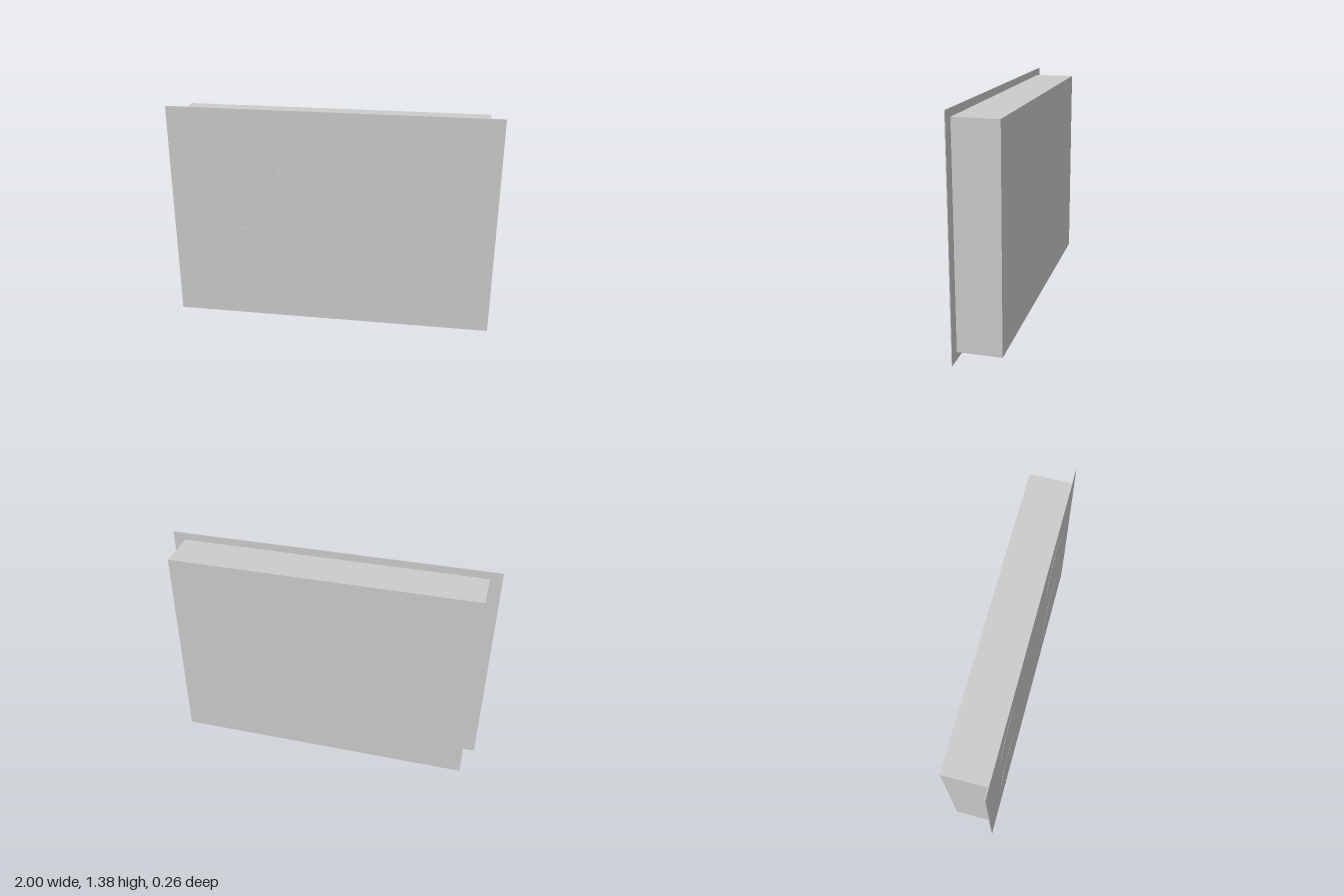
import * as THREE from 'three';

const material = new THREE.MeshStandardMaterial({ color: 0xcccccc });

function addPart(parent, name, geometry, x, y, z) {
  const mesh = new THREE.Mesh(geometry, material);
  mesh.name = name;
  mesh.position.set(x, y, z);
  parent.add(mesh);
  return mesh;
}

export function createModel() {
  const model = new THREE.Group();
  model.name = 'cooktop';

  // Deep housing behind the plate
  addPart(model, 'housing', new THREE.BoxGeometry(1.853, 1.284, 0.258), 0, 0.688, -0.003);

  // Thin plate overhanging the housing on all sides
  addPart(model, 'topPlate', new THREE.BoxGeometry(2, 1.375, 0.005), 0, 0.6875, 0.1285);

  // Four very thin heating zones on the plate
  const zone = new THREE.CylinderGeometry(0.193, 0.193, 0.002, 64).rotateX(Math.PI / 2);
  for (const [side, x] of [['right', -0.54], ['left', 0.54]]) {
    for (const [level, y] of [['Lower', 0.414], ['Upper', 0.992]]) {
      addPart(model, `${side}${level}HeatingZone`, zone, x, y, 0.131);
    }
  }

  return model;
}
